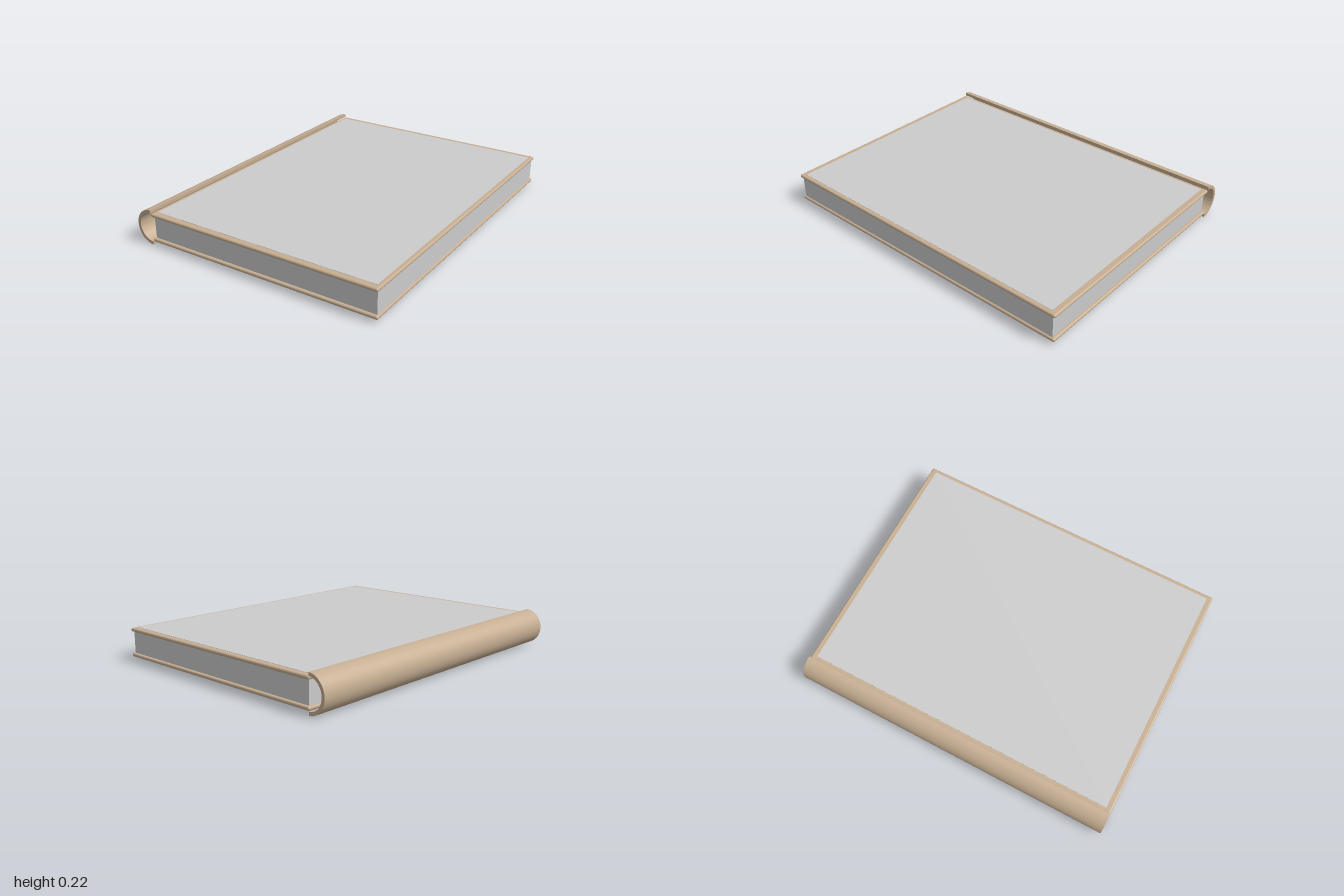
import * as THREE from 'three';
import { RoundedBoxGeometry } from 'three/addons/geometries/RoundedBoxGeometry.js';
import { toCreasedNormals } from 'three/addons/utils/BufferGeometryUtils.js';

export function createModel() {
  const book = new THREE.Group();
  book.name = 'book';
  const leather = new THREE.MeshStandardMaterial({ color: 0xc6ae92 });
  const grey = new THREE.MeshStandardMaterial({ color: 0xcccccc });
  const midY = 0.108;

  const add = (name, geometry, material, x, y, z = 0) => {
    const mesh = new THREE.Mesh(geometry, material);
    mesh.name = name;
    mesh.position.set(x, y, z);
    book.add(mesh);
    return mesh;
  };

  // Cover boards with rounded edges, above and below the pages
  for (const [name, side] of [['frontCover', 1], ['backCover', -1]]) {
    const board = new RoundedBoxGeometry(1.495, 0.022, 2, 4, 0.01);
    add(name, board, leather, 0.0525, midY + side * 0.077);
  }

  // Page block, slightly inset from the covers
  add('pages', new THREE.BoxGeometry(1.47, 0.14, 1.966), grey, 0.055, midY);

  // Thin panel on the front cover
  add('coverPanel', new THREE.BoxGeometry(1.447, 0.003, 1.93), grey, 0.0525, midY + 0.088);

  // Half-round hollow spine running the full length
  const section = new THREE.Shape();
  section.absellipse(0, 0, 0.105, 0.108, Math.PI / 2, Math.PI * 1.5, false);
  section.lineTo(0, -0.088);
  section.absellipse(0, 0, 0.086, 0.088, Math.PI * 1.5, Math.PI / 2, true);
  section.closePath();
  const spine = new THREE.ExtrudeGeometry(section, { depth: 2, bevelEnabled: false, curveSegments: 32 });
  add('spine', toCreasedNormals(spine, 0.6), leather, -0.695, midY, -1);

  return book;
}
